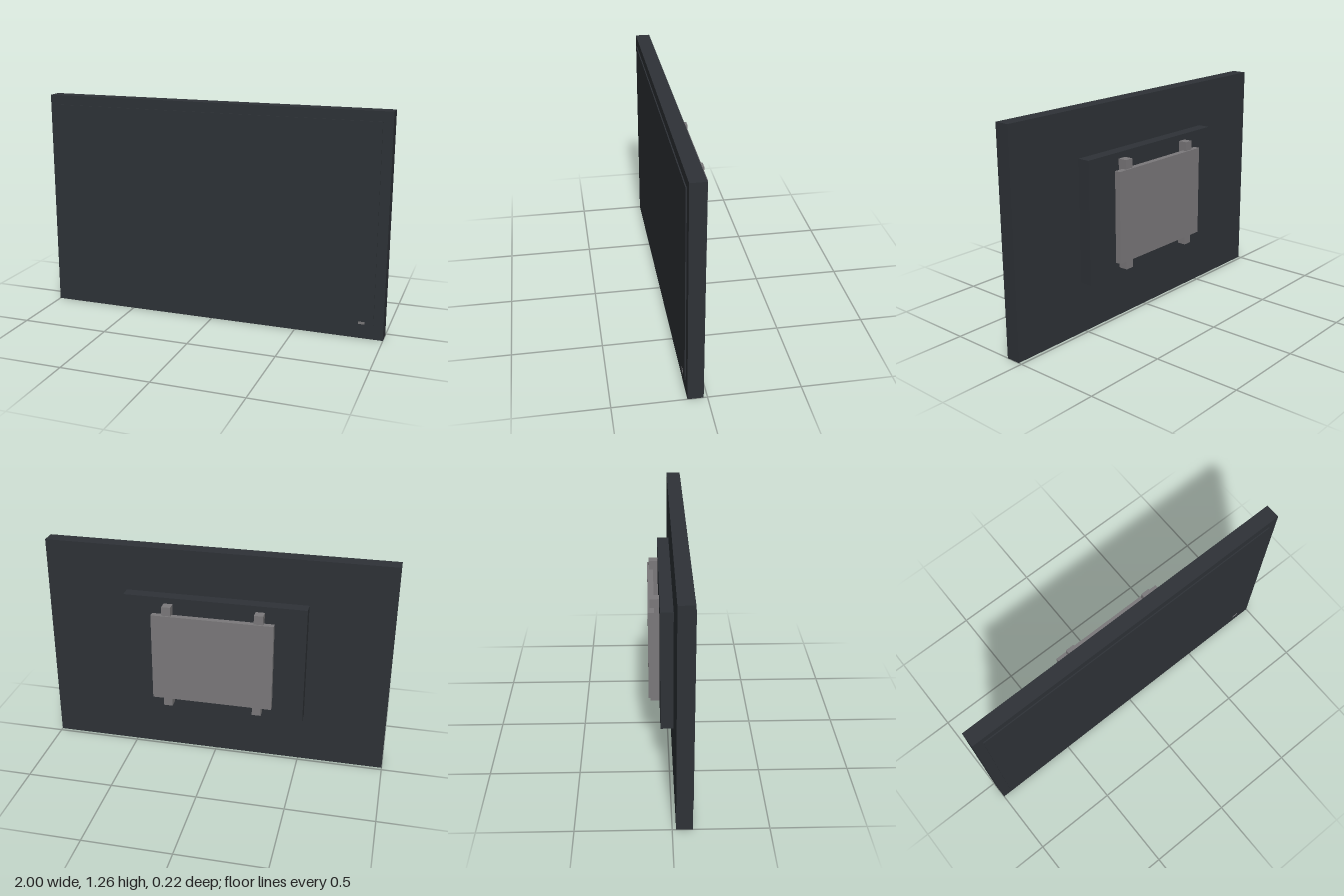
import * as THREE from 'three';

export function createModel() {
  const group = new THREE.Group();
  const material = (name, color) => {
    const m = new THREE.MeshStandardMaterial({ color });
    m.name = name;
    return m;
  };
  const charcoal = material('charcoal', 0x2e3237);
  const grey = material('metal grey', 0x7b797b);

  // Box given by its limits on each axis
  const box = (name, mat, [x0, x1], [y0, y1], [z0, z1]) => {
    const mesh = new THREE.Mesh(new THREE.BoxGeometry(x1 - x0, y1 - y0, z1 - z0), mat);
    mesh.position.set((x0 + x1) / 2, (y0 + y1) / 2, (z0 + z1) / 2);
    mesh.name = name;
    group.add(mesh);
  };

  // Display body, raised screen and small status light
  box('displayBody', charcoal, [-1, 1], [0, 1.265], [0.02, 0.105]);
  box('screen', charcoal, [-0.945, 0.945], [0.083, 1.21], [0.105, 0.111]);
  box('statusLight', grey, [0.86, 0.897], [0.085, 0.099], [0.105, 0.113]);

  // Electronics housing on the back
  box('rearHousing', charcoal, [-0.525, 0.525], [0.3, 1], [-0.05, 0.02]);

  // Wall mount: two upright rails and a plate across them
  for (const [name, x] of [['rightRail', -0.263], ['leftRail', 0.263]]) {
    box(name, grey, [x - 0.026, x + 0.026], [0.335, 0.965], [-0.102, -0.05]);
  }
  box('mountPlate', grey, [-0.35, 0.35], [0.388, 0.913], [-0.112, -0.078]);

  return group;
}
